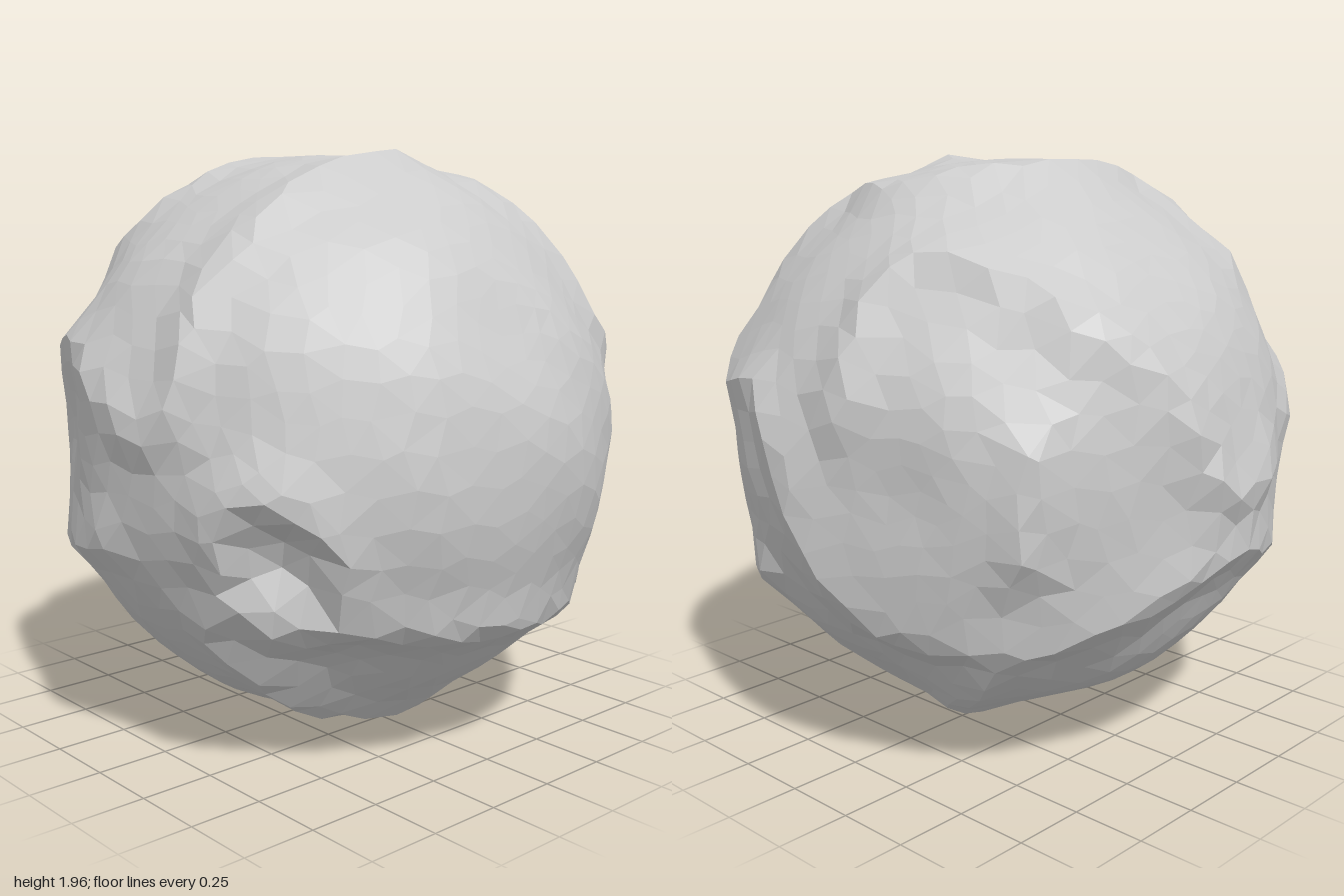
import * as THREE from 'three';

// Unit direction from degrees round the ball (0 = front, 90 = its left) and degrees above the equator
function dir([around, up]) {
  const polar = THREE.MathUtils.degToRad(90 - up);
  return new THREE.Vector3().setFromSphericalCoords(1, polar, THREE.MathUtils.degToRad(around));
}

// Winding crest: a smooth line over the ball, sampled as directions
const crest = (...points) => new THREE.CatmullRomCurve3(points.map(dir))
  .getSpacedPoints(60).map((p) => p.normalize());

const bump = (distance, width) => Math.exp(-((distance / width) ** 2));

const mouth = dir([-52, -16]);

// Oval rim of the small mouth on the front
function mouthRim() {
  const long = new THREE.Vector3(.6, -.75, .2).projectOnPlane(mouth).normalize();
  const short = new THREE.Vector3().crossVectors(mouth, long);
  return new THREE.EllipseCurve(0, 0, .27, .18).getPoints(40).map((p) => mouth.clone()
    .addScaledVector(long, p.x).addScaledVector(short, p.y).normalize());
}

const crests = [
  crest([45, 60], [44, 40], [45, 24], [58, 14], [73, 16], [86, 6], [100, -24], [135, -31]), // side basin rim
  crest([-138, 37], [-129, 48], [-132, 65], [160, 72], [84, 62], [45, 60]), // top basin rim
  crest([101, 15], [104, 38], [118, 44], [140, 36], [160, 23], [180, -4], [-168, 0]), // back shoulder
  crest([10, 74], [-55, 59], [-70, 35], [-75, 7], [-113, 21], [-148, 6]), // upper front step
  crest([135, -31], [180, -15], [-143, -21], [-93, -15]), // lower back branch
  crest([135, -31], [113, -60], [90, -88]), // branch to the underside
  crest([138, 10], [136, -12]), // short ridge in the back basin
  crest([72, -22], [40, -32], [0, -31], [-39, -28]), // lower front fold
  crest([-70, -29], [-60, -47], [-49, -62], [0, -66]), // bottom fold
  mouthRim(),
].flat();

const basins = [[-175, 50], [78, 36], [152, 3], [30, 32], [90, -45], [-10, 25]].map(dir);
const pits = [[45, -17], [-36, -42], [-114, 1], [115, 0], [180, -68]].map(dir);

function shapePoint(v) {
  // slight irregularity of the facets
  const { x, y, z } = v;
  v.x += .018 * Math.sin(23 * y + 17 * z);
  v.y += .018 * Math.sin(19 * z + 25 * x);
  v.z += .018 * Math.sin(21 * x + 18 * y);
  v.normalize();

  // draw vertices towards the nearest crest so it reads as a sharp edge
  let nearest = crests[0];
  for (const p of crests) {
    if (p.distanceToSquared(v) < nearest.distanceToSquared(v)) nearest = p;
  }
  const d = nearest.distanceTo(v);
  v.lerp(nearest, .5 * bump(d, .06)).normalize();

  // raise crests, sink basins, pits and the mouth, and ripple the plain areas
  let r = .957 + .05 * bump(d, .09);
  for (const c of basins) r -= .025 * bump(c.distanceTo(v), .28);
  for (const c of pits) r -= .05 * bump(c.distanceTo(v), .2);
  r -= .1 * bump(mouth.distanceTo(v), .13);
  r += .01 * Math.sin(9 * v.x + 5 * v.y) * Math.sin(8 * v.z - 6 * v.y) * (1 - bump(d, .09));
  return v.multiplyScalar(r);
}

export function createModel() {
  const group = new THREE.Group();
  group.name = 'ridgedBall';

  const geometry = new THREE.IcosahedronGeometry(1, 10);
  const position = geometry.attributes.position;
  const v = new THREE.Vector3();
  for (let i = 0; i < position.count; i++) {
    shapePoint(v.fromBufferAttribute(position, i));
    position.setXYZ(i, v.x, v.y, v.z);
  }

  // centre the ball and stand it on the ground
  geometry.center();
  geometry.computeBoundingBox();
  geometry.translate(0, -geometry.boundingBox.min.y, 0);
  geometry.computeVertexNormals();

  const ball = new THREE.Mesh(geometry, new THREE.MeshStandardMaterial({ color: 0xcccccc, flatShading: true }));
  ball.name = 'ball';
  group.add(ball);
  return group;
}
